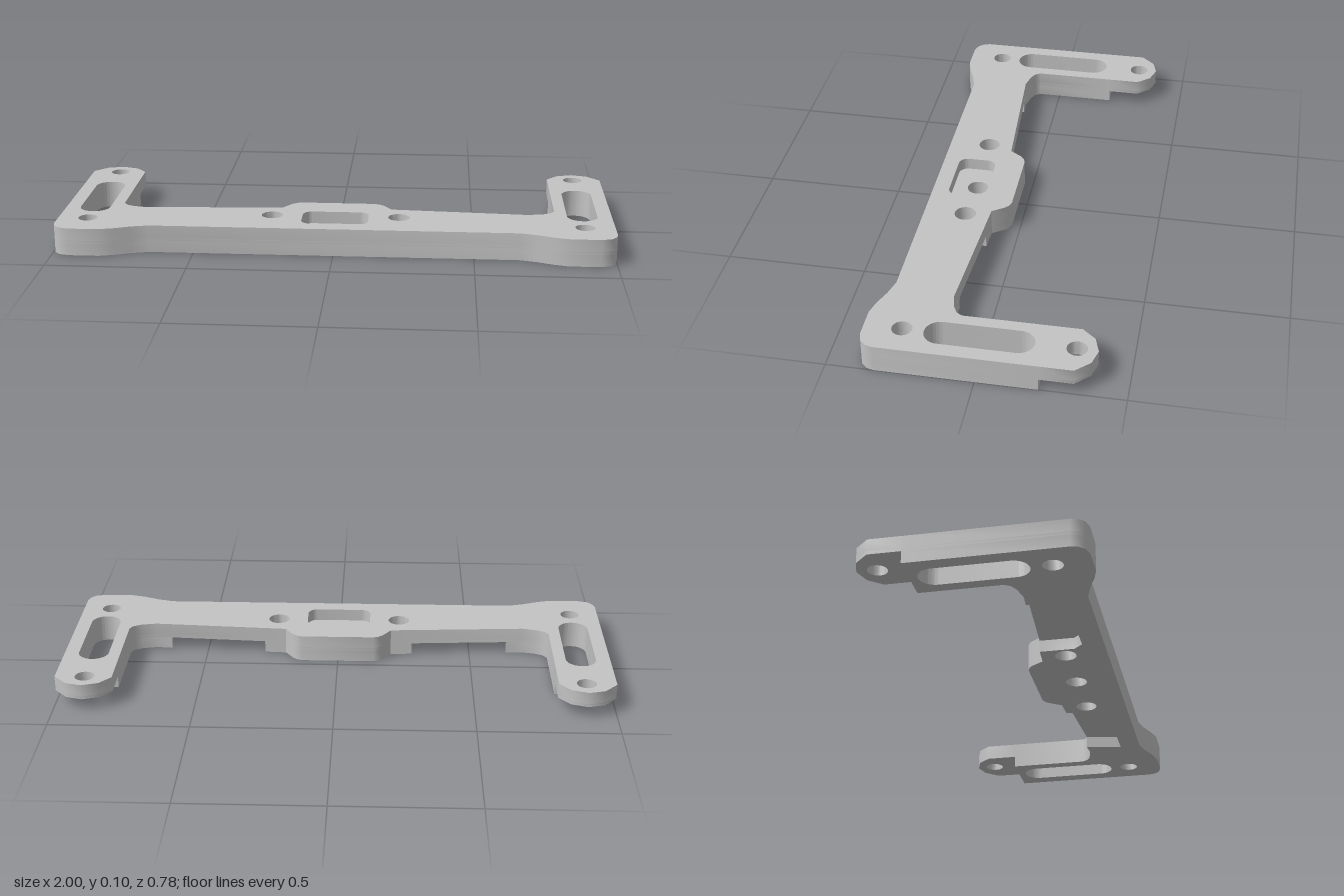
import * as THREE from 'three';
import { toCreasedNormals } from 'three/addons/utils/BufferGeometryUtils.js';

// Half outlines in plan, as [x, z], running from the front middle to the back middle
const FRONT = [[0.66, 0.338], [0.72, 0.354], [0.78, 0.378], [0.83, 0.391], [0.94, 0.391],
  [0.975, 0.381], [0.993, 0.361], [1, 0.337]];
const ARM_OUTER = [[1, -0.21]];
const TIP = [[1, -0.325], [0.953, -0.375], [0.895, -0.391], [0.835, -0.372], [0.795, -0.325]];
const ARM_INNER = [[0.795, -0.21], [0.795, 0.082], [0.782, 0.102], [0.755, 0.116], [0.7, 0.128]];
const RECESS = [[0.64, 0.124], [0.665, 0.26], [0.31, 0.26], [0.28, 0.227], [0.28, 0.102]];
const BUMP = [[0.2, 0.097], [0.17, 0.053], [0.155, 0.04], [0.135, 0.033]];

const STEP_Y = 0.044, POCKET_Y = 0.055, TOP_Y = 0.1;

function mirroredShape(half) {
  const other = half.map(([x, z]) => [-x, z]).reverse();
  return new THREE.Shape([...half, ...other].map(([x, z]) => new THREE.Vector2(x, z)));
}

// Holes run opposite to the outline, so that their walls face inwards
function roundHole(x, z, r) {
  return new THREE.Path().absarc(x, z, r, 0, Math.PI * 2, false);
}

// Rounded rectangle; a radius of half the width gives a slot
function roundedHole(x, z, w, h, r) {
  const p = new THREE.Path();
  const a = w / 2 - r, b = h / 2 - r, q = Math.PI / 2;
  p.absarc(x + a, z + b, r, 0, q, false);
  p.absarc(x - a, z + b, r, q, 2 * q, false);
  p.absarc(x - a, z - b, r, 2 * q, 3 * q, false);
  p.absarc(x + a, z - b, r, 3 * q, 4 * q, false);
  p.closePath();
  return p;
}

export function createModel() {
  const group = new THREE.Group();
  group.name = 'mountingBracket';
  const metal = new THREE.MeshStandardMaterial({ color: 0xc4c4c4 });
  metal.name = 'plain grey';

  function addLayer(name, half, bottom, top, centreHole, hasTips) {
    const shape = mirroredShape(half);
    shape.holes.push(centreHole);
    for (const s of [-1, 1]) {
      shape.holes.push(roundHole(s * 0.23, 0.188, 0.039));
      shape.holes.push(roundHole(s * 0.893, 0.262, 0.035));
      shape.holes.push(roundedHole(s * 0.893, 0.003, 0.11, 0.37, 0.054));
      if (hasTips) shape.holes.push(roundHole(s * 0.893, -0.32, 0.035));
    }
    const geo = new THREE.ExtrudeGeometry(shape, {
      depth: top - bottom, bevelEnabled: false, curveSegments: 12,
    });
    geo.rotateX(Math.PI / 2).translate(0, top, 0);
    const mesh = new THREE.Mesh(toCreasedNormals(geo, 0.85), metal);
    mesh.name = name;
    group.add(mesh);
  }

  const full = [...FRONT, ...ARM_OUTER, ...TIP, ...ARM_INNER, ...BUMP];
  const lower = [...FRONT, ...ARM_OUTER, ...ARM_INNER, ...RECESS, ...BUMP];
  const bolt = () => roundHole(0, 0.188, 0.039);

  // Base with shortened arms and two recesses open to the back
  addLayer('lowerPlate', lower, 0, STEP_Y, bolt(), false);
  // Thin web forming the floor of the centre pocket
  addLayer('pocketFloorPlate', full, STEP_Y, POCKET_Y, bolt(), true);
  // Top with the rounded centre pocket
  addLayer('upperPlate', full, POCKET_Y, TOP_Y, roundedHole(0, 0.209, 0.24, 0.14, 0.035), true);

  return group;
}
